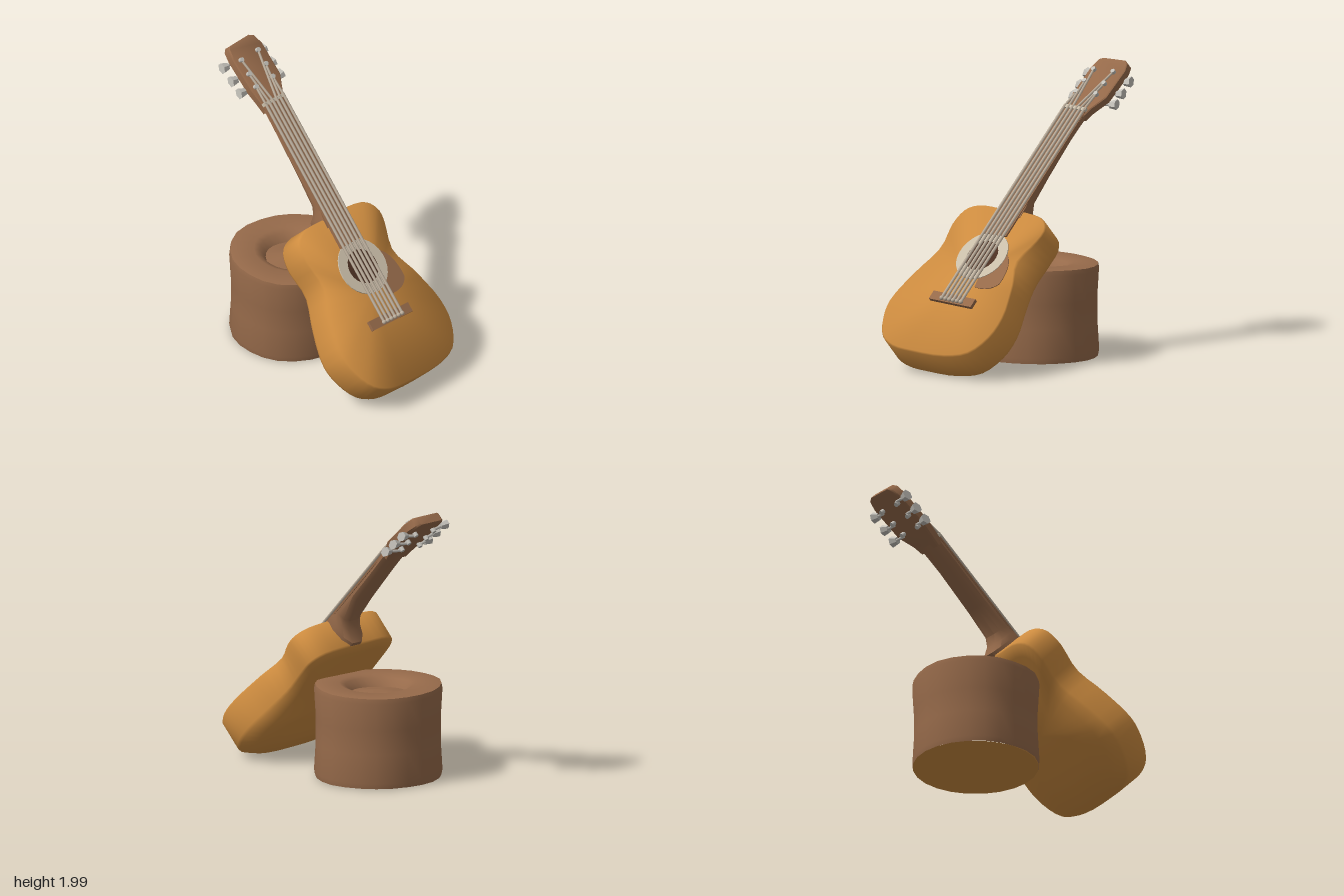
import * as THREE from 'three';
import { toCreasedNormals } from 'three/addons/utils/BufferGeometryUtils.js';

const V = (x, y, z) => new THREE.Vector3(x, y, z);
const mat = (name, color) => {
  const m = new THREE.MeshStandardMaterial({ color });
  m.name = name;
  return m;
};

// Skin between equal-length rings of points, with both ends capped
function loft(rings, crease = 0.7) {
  const pos = [];
  const tri = (...p) => p.forEach(v => pos.push(v.x, v.y, v.z));
  const n = rings[0].length, last = rings[rings.length - 1];
  const mid = r => r.reduce((s, p) => s.add(p), V(0, 0, 0)).divideScalar(n);
  const c0 = mid(rings[0]), c1 = mid(last);
  for (let j = 0; j < n; j++) {
    const k = (j + 1) % n;
    tri(c0, rings[0][j], rings[0][k]);
    tri(c1, last[k], last[j]);
    for (let i = 0; i < rings.length - 1; i++) {
      const a = rings[i][j], b = rings[i][k], c = rings[i + 1][k], d = rings[i + 1][j];
      tri(a, d, c);
      tri(a, c, b);
    }
  }
  const g = new THREE.BufferGeometry();
  g.setAttribute('position', new THREE.Float32BufferAttribute(pos, 3));
  return toCreasedNormals(g, crease);
}

// Bar running up the neck; rows are [s, centre x, half width, front, back]
function neckLoft(rows, section) {
  return loft(rows.map(([s, cx, hw, f, b]) => section.map(([u, v]) =>
    V(cx + u * hw, s, b + (f - b) * v))));
}

export function createModel() {
  const orange = mat('orangeWood', 0xcf8d40);
  const brown = mat('brownWood', 0x966a4a);
  const dark = mat('darkHole', 0x4c3022);
  const cream = mat('creamInlay', 0xcbbfaa);
  const steel = mat('stringMetal', 0xbcae9c);
  const pegMat = mat('pegMetal', 0xc4c1ba);

  const root = new THREE.Group();
  const guitar = new THREE.Group();
  guitar.name = 'guitar';
  // Leaning frame: local y runs up the neck, local z out of the soundboard
  guitar.rotation.x = -Math.PI / 4;
  guitar.position.set(0, 0.18, 0.97);
  root.add(guitar);

  const add = (name, geo, m, parent = guitar) => {
    const mesh = new THREE.Mesh(geo, m);
    mesh.name = name;
    parent.add(mesh);
    return mesh;
  };
  const rod = (name, a, b, r, m, sides = 6) => {
    const d = b.clone().sub(a);
    const mesh = add(name, new THREE.CylinderGeometry(r, r, d.length(), sides), m);
    mesh.position.copy(a).add(b).multiplyScalar(0.5);
    mesh.quaternion.setFromUnitVectors(V(0, 1, 0), d.normalize());
  };
  const axisX = s => 0.035 + (s - 0.47) * 0.074;

  // Body: flat front, straight sides, back bulging at the lower bout
  const outline = new THREE.CatmullRomCurve3([
    [-0.1, 0.005], [0.2, -0.002], [0.38, 0.05], [0.48, 0.2], [0.5, 0.38], [0.455, 0.6],
    [0.425, 0.8], [0.445, 1.0], [0.45, 1.14], [0.385, 1.22], [0.2, 1.26], [0, 1.265],
    [-0.19, 1.27], [-0.285, 1.225], [-0.33, 1.1], [-0.32, 0.88], [-0.42, 0.65],
    [-0.5, 0.4], [-0.48, 0.25], [-0.4, 0.1], [-0.28, 0.03],
  ].map(p => V(p[0], p[1], 0)), true).getPoints(64).slice(0, -1);
  const bodyRing = (k, z, dome = 0, inset = 0) => outline.map(p => {
    const y = 0.6 + (p.y - 0.6) * k;
    const fade = THREE.MathUtils.clamp((1.25 - y) / 0.7, 0, 1);
    // The right waist is pinched in at the front edge
    const pinch = inset * Math.exp(-(((y - 0.85) / 0.14) ** 2)) * THREE.MathUtils.smoothstep(p.x, 0.1, 0.4);
    return V(0.03 + (p.x - 0.03) * k - pinch, y, z - dome * fade);
  });
  add('body', loft([
    bodyRing(0.985, 0, 0, 0.06), bodyRing(1, -0.014, 0, 0.05),
    bodyRing(1, -0.22), bodyRing(0.985, -0.235, 0.01),
    bodyRing(0.86, -0.24, 0.07), bodyRing(0.5, -0.24, 0.1),
  ], 2), orange);

  // Pick guard, rosette and sound hole
  const plate = (name, shape, depth, m) => add(name,
    new THREE.ExtrudeGeometry(shape, { depth, bevelEnabled: false, curveSegments: 14 }), m);
  const guard = new THREE.Shape();
  guard.moveTo(0.2, 0.86);
  guard.lineTo(0.27, 0.88);
  guard.quadraticCurveTo(0.35, 0.8, 0.33, 0.64);
  guard.quadraticCurveTo(0.27, 0.56, 0.14, 0.59);
  guard.lineTo(0.13, 0.72);
  plate('pickGuard', guard, 0.005, brown);
  const ring = new THREE.Shape().absarc(0.065, 0.85, 0.2, 0, Math.PI * 2);
  ring.holes.push(new THREE.Path().absarc(0.065, 0.85, 0.125, 0, Math.PI * 2, true));
  plate('rosette', ring, 0.009, cream);
  plate('soundHole', new THREE.Shape().absarc(0.065, 0.85, 0.13, 0, Math.PI * 2), 0.007, dark);

  // Bridge
  const bridge = add('bridge', new THREE.BoxGeometry(0.38, 0.07, 0.028), brown);
  bridge.position.set(0.03, 0.455, 0.011);
  bridge.rotation.z = -0.07;

  // Neck with heel, flowing into the headstock
  const neckSection = [[1, 0.65], [0.95, 1], [-0.95, 1], [-1, 0.65], [-0.8, 0.25], [-0.4, 0], [0.4, 0], [0.8, 0.25]];
  add('neck', neckLoft([
    [1.2, axisX(1.2), 0.115, 0.004, -0.235], [1.29, axisX(1.29), 0.112, 0.004, -0.228],
    [1.325, axisX(1.325), 0.104, 0.004, -0.15], [1.38, axisX(1.38), 0.1, 0.004, -0.1],
    [1.6, axisX(1.6), 0.097, 0, -0.08], [1.93, axisX(1.93), 0.095, -0.002, -0.067],
    [2.15, 0.165, 0.1, -0.004, -0.066],
  ], neckSection), brown);
  const flatSection = [[1, 0.15], [1, 0.9], [0.94, 1], [-0.94, 1], [-1, 0.9], [-1, 0.15], [-0.9, 0], [0.9, 0]];
  add('headstock', neckLoft([
    [2.1, 0.16, 0.095, -0.002, -0.064], [2.17, 0.17, 0.11, -0.004, -0.068],
    [2.28, 0.198, 0.147, -0.012, -0.078], [2.53, 0.215, 0.148, -0.03, -0.1],
    [2.6, 0.215, 0.128, -0.036, -0.11], [2.622, 0.212, 0.1, -0.045, -0.108],
  ], flatSection), brown);
  add('fingerboard', neckLoft([
    [1.03, axisX(1.03), 0.1, 0.015, -0.005], [2.15, axisX(2.15), 0.095, 0.005, -0.01],
  ], flatSection), brown);
  const nut = add('nut', new THREE.BoxGeometry(0.2, 0.025, 0.03), cream);
  nut.position.set(0.16, 2.15, 0.004);
  nut.rotation.z = -0.05;

  // Tuners: post through the headstock, shaft and chunky peg at the side
  const posts = { '-1': [], 1: [] };
  for (const side of [-1, 1]) {
    for (const y of [2.5, 2.39, 2.29]) {
      const x = 0.19 + side * 0.085 + (y - 2.4) * 0.12;
      const z = -(y - 2.15) * 0.08;
      posts[side].push(V(x, y, z + 0.012));
      rod('tunerPost', V(x, y, z - 0.1), V(x, y, z + 0.025), 0.017, pegMat, 8);
      const py = y - side * 0.015, px = 0.2 + side * 0.178;
      rod('tunerShaft', V(x, py, z - 0.085), V(px, py, z - 0.07), 0.011, pegMat);
      const peg = add('tunerPeg', toCreasedNormals(new THREE.CylinderGeometry(0.041, 0.027, 0.056, 6), 0.5), pegMat);
      peg.position.set(px, py, z - 0.07);
      peg.rotation.z = -side * (Math.PI / 2 - 0.15);
      peg.scale.z = 0.8;
    }
  }

  // Strings: bridge to nut, then fanning out to the posts
  for (let i = 0; i < 6; i++) {
    const off = (i - 2.5) * 0.035;
    const low = V(0.036 + off, 0.44 - off * 0.07, 0.034);
    const high = V(0.16 + off, 2.15 - off * 0.05, 0.017);
    rod('string', low, high, 0.0105, steel);
    const post = i < 3 ? posts[-1][2 - i] : posts[1][i - 3];
    rod('stringEnd', high, post, 0.009, steel);
    add('bridgePin', new THREE.IcosahedronGeometry(0.016, 1), steel).position.copy(low);
  }

  // Stump with a sunken top and a pale cut underside
  const stump = new THREE.Group();
  stump.name = 'stump';
  stump.position.set(0.04, 0, -0.255);
  root.add(stump);
  const profile = [
    [0.435, 0.012], [0.442, 0.05], [0.43, 0.25], [0.43, 0.42], [0.442, 0.62], [0.435, 0.655],
    [0.4, 0.66], [0.27, 0.66], [0.23, 0.645], [0.19, 0.59], [0.1, 0.6], [0, 0.615],
  ].map(p => new THREE.Vector2(p[0], p[1]));
  const bark = new THREE.LatheGeometry(profile, 24);
  const p = bark.attributes.position;
  for (let i = 0; i < p.count; i++) {
    const a = Math.atan2(p.getZ(i), p.getX(i));
    const k = 1 + 0.01 * Math.sin(3 * a + 1) + 0.006 * Math.cos(7 * a);
    const lift = p.getY(i) > 0.5 ? 0.006 * Math.sin(2 * a) : 0;
    p.setXYZ(i, p.getX(i) * k * 1.02, p.getY(i) + lift, p.getZ(i) * k * 0.985);
  }
  add('bark', toCreasedNormals(bark, 0.7), brown, stump);
  const base = add('stumpUnderside', new THREE.CircleGeometry(0.435, 24), orange, stump);
  base.rotation.x = Math.PI / 2;
  base.position.y = 0.012;

  return root;
}
